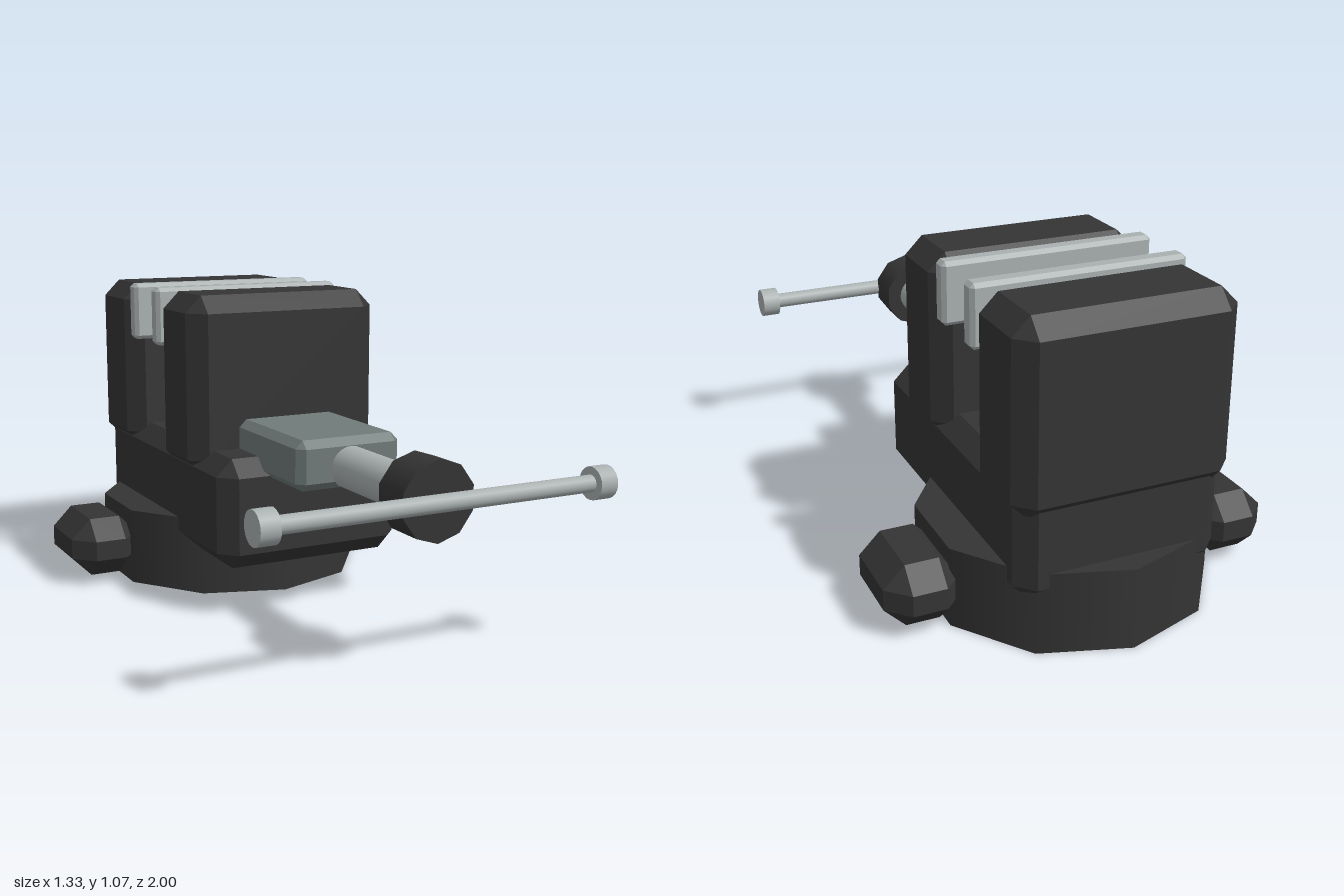
import * as THREE from 'three';
import { ConvexGeometry } from 'three/addons/geometries/ConvexGeometry.js';

const mat = (name, color) => {
  const m = new THREE.MeshStandardMaterial({ color });
  m.name = name;
  return m;
};

// Box with every edge cut by a chamfer c; each range is [min, max]
function chamferBox(x, y, z, c) {
  const centre = [x, y, z].map(r => (r[0] + r[1]) / 2);
  const half = [x, y, z].map(r => (r[1] - r[0]) / 2);
  const points = [];
  for (const sx of [-1, 1]) for (const sy of [-1, 1]) for (const sz of [-1, 1]) {
    const s = [sx, sy, sz];
    for (let axis = 0; axis < 3; axis++) {
      const p = s.map((sign, i) => sign * (half[i] - (i === axis ? 0 : c)));
      points.push(new THREE.Vector3(...p));
    }
  }
  return new ConvexGeometry(points).translate(...centre);
}

// Cylinder along z between two depths, at the screw height
const SCREW_Y = 0.543;
const rodZ = (r, z0, z1, sides) => new THREE.CylinderGeometry(r, r, z1 - z0, sides)
  .rotateX(Math.PI / 2).translate(0, SCREW_Y, (z0 + z1) / 2);

// Cylinder along x between two positions, in front of the screw knob
const rodX = (r, x0, x1, sides) => new THREE.CylinderGeometry(r, r, x1 - x0, sides)
  .rotateZ(Math.PI / 2).translate((x0 + x1) / 2, SCREW_Y, 0.948);

export function createModel() {
  const iron = mat('dark iron', 0x343434);
  const slideSteel = mat('slide steel', 0x707b79);
  const steel = mat('bright steel', 0xaab1b1);

  const group = new THREE.Group();
  group.name = 'benchVise';
  const add = (name, geometry, material) => {
    const mesh = new THREE.Mesh(geometry, material);
    mesh.name = name;
    group.add(mesh);
  };

  // Ten-sided base with a clamping lug on each side
  add('base', new THREE.CylinderGeometry(0.48, 0.48, 0.27, 10).translate(0, 0.135, -0.52), iron);
  add('leftLug', chamferBox([0.415, 0.665], [0.03, 0.24], [-0.725, -0.362], 0.07), iron);
  add('rightLug', chamferBox([-0.665, -0.415], [0.03, 0.24], [-0.725, -0.362], 0.07), iron);

  // Body and the two jaws
  add('body', chamferBox([-0.34, 0.34], [0.165, 0.54], [-0.92, 0.185], 0.057), iron);
  add('frontJaw', chamferBox([-0.357, 0.357], [0.445, 1.063], [-0.33, -0.017], 0.058), iron);
  add('backJaw', chamferBox([-0.357, 0.357], [0.445, 1.063], [-0.945, -0.615], 0.058), iron);

  // Gripping plates
  add('frontJawPlate', chamferBox([-0.357, 0.357], [0.867, 1.07], [-0.397, -0.333], 0.013), steel);
  add('backJawPlate', chamferBox([-0.357, 0.357], [0.867, 1.07], [-0.615, -0.55], 0.013), steel);

  // Slide bar, screw and knob
  add('slideBar', chamferBox([-0.187, 0.187], [0.475, 0.64], [-0.75, 0.425], 0.026), slideSteel);
  add('screw', rodZ(0.07, 0.3, 0.82, 24), steel);
  add('screwKnob', rodZ(0.125, 0.797, 0.93, 10), iron);

  // Turning handle with end caps
  add('handle', rodX(0.027, -0.55, 0.55, 20), steel);
  add('leftHandleCap', rodX(0.052, 0.535, 0.597, 20), steel);
  add('rightHandleCap', rodX(0.052, -0.597, -0.535, 20), steel);

  return group;
}
